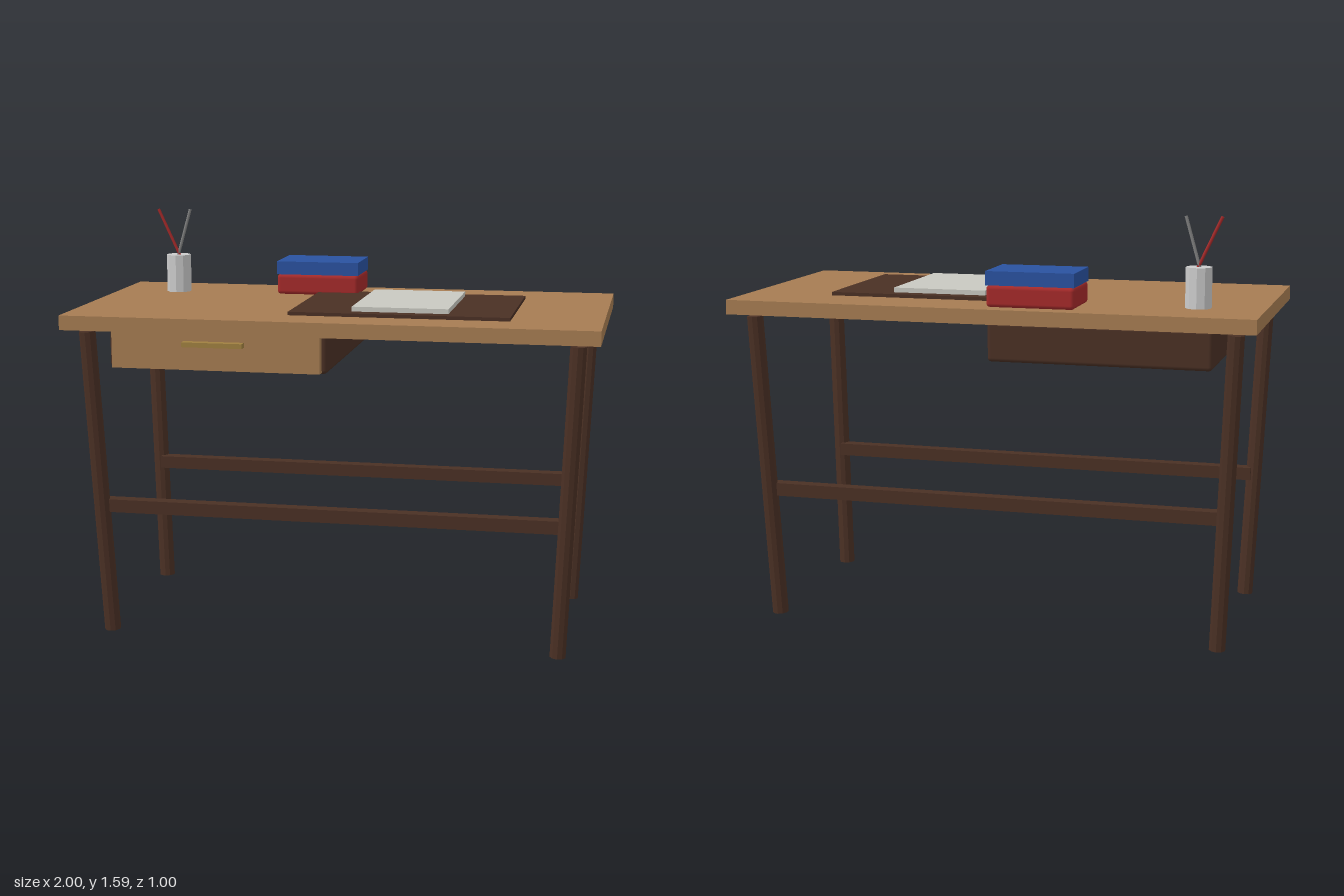
import * as THREE from 'three';
import { RoundedBoxGeometry } from 'three/addons/geometries/RoundedBoxGeometry.js';

const paint = (color, flatShading = false) => new THREE.MeshStandardMaterial({ color, flatShading });

export function createModel() {
  const desk = new THREE.Group();
  desk.name = 'desk';

  const wood = paint(0xa67c52);
  const darkWood = paint(0x4a3024);
  const darkWoodFlat = paint(0x4a3024, true);
  const brass = paint(0xa08040);
  const red = paint(0xa52a2a);
  const blue = paint(0x2a52a0);
  const paper = paint(0xc8c8c0);
  const metal = paint(0xcccccc, true);
  const grey = paint(0x808080);

  const add = (name, geometry, material) => {
    const mesh = new THREE.Mesh(geometry, material);
    mesh.name = name;
    desk.add(mesh);
    return mesh;
  };

  // Box given by its [min, max] range on each axis, optionally with rounded edges
  const box = (name, [x0, x1], [y0, y1], [z0, z1], material, round = 0) => {
    const size = [x1 - x0, y1 - y0, z1 - z0];
    const geometry = round
      ? new RoundedBoxGeometry(...size, 3, round)
      : new THREE.BoxGeometry(...size);
    add(name, geometry, material)
      .position.set((x0 + x1) / 2, (y0 + y1) / 2, (z0 + z1) / 2);
  };

  // Straight rod between two points
  const rod = (name, from, to, radius, sides, material) => {
    const a = new THREE.Vector3(...from);
    const b = new THREE.Vector3(...to);
    const dir = b.clone().sub(a);
    const mesh = add(name, new THREE.CylinderGeometry(radius, radius, dir.length(), sides), material);
    mesh.position.copy(a).lerp(b, 0.5);
    mesh.quaternion.setFromUnitVectors(new THREE.Vector3(0, 1, 0), dir.normalize());
  };

  box('top', [-1, 1], [1.2, 1.255], [-0.5, 0.5], wood);

  // Legs splayed towards the top, with a long rail on each side
  for (const sz of [1, -1]) {
    for (const sx of [1, -1]) {
      rod(sz > 0 ? 'frontLeg' : 'backLeg',
        [sx * 0.868, 0.002, sz * 0.368], [sx * 0.918, 1.187, sz * 0.42], 0.031, 10, darkWoodFlat);
    }
    box('rail', [-0.88, 0.88], [0.48, 0.53], [sz * 0.37 - 0.025, sz * 0.37 + 0.025], darkWood);
  }

  // Drawer
  box('drawerBody', [-0.835, 0], [1.05, 1.198], [-0.42, 0.41], darkWood, 0.015);
  box('drawerFront', [-0.815, -0.02], [1.056, 1.194], [0.4, 0.447], wood);
  box('drawerHandle', [-0.535, -0.305], [1.147, 1.165], [0.445, 0.48], brass);

  // Things on the desk
  box('deskMat', [-0.165, 0.663], [1.255, 1.268], [-0.27, 0.332], darkWood);
  box('paper', [0.067, 0.43], [1.268, 1.286], [-0.216, 0.28], paper);
  box('lowerBook', [-0.335, -0.003], [1.256, 1.337], [-0.447, -0.219], red, 0.015);
  box('upperBook', [-0.335, -0.003], [1.337, 1.389], [-0.449, -0.217], blue);

  // Pencil cup and pencils
  add('pencilCup', new THREE.CylinderGeometry(0.049, 0.049, 0.15, 10), metal)
    .position.set(-0.753, 1.33, -0.25);
  rod('redPencil', [-0.748, 1.4, -0.25], [-0.835, 1.588, -0.25], 0.006, 8, red);
  rod('greyPencil', [-0.756, 1.4, -0.25], [-0.702, 1.588, -0.25], 0.006, 8, grey);

  return desk;
}
